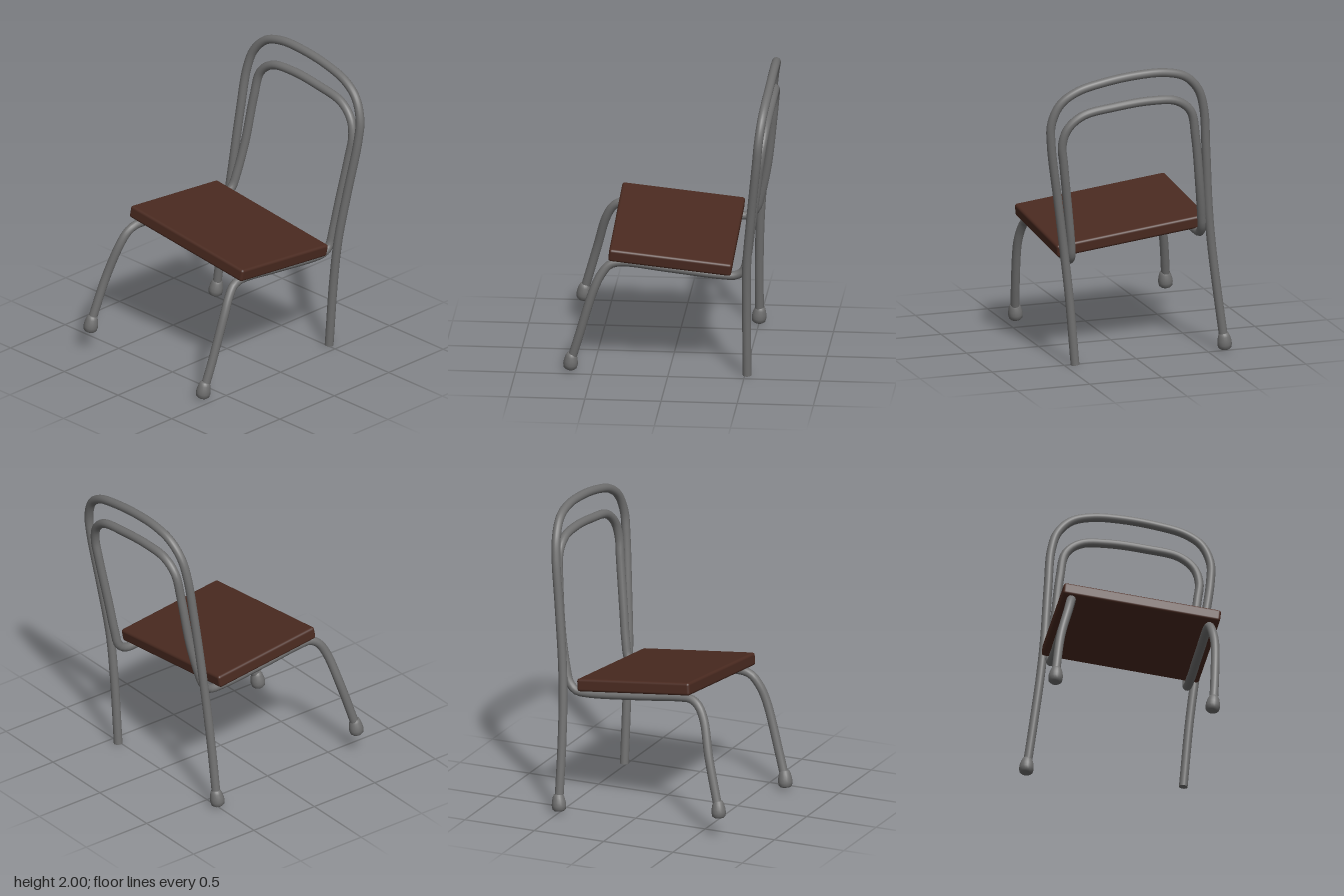
import * as THREE from 'three';
import { RoundedBoxGeometry } from 'three/addons/geometries/RoundedBoxGeometry.js';

const TUBE = 0.029;

export function createModel() {
  const chair = new THREE.Group();
  chair.name = 'chair';
  const steel = new THREE.MeshStandardMaterial({ color: 0x707070 });
  steel.name = 'grey steel';
  const brown = new THREE.MeshStandardMaterial({ color: 0x4a2a20 });
  brown.name = 'dark brown';

  const add = (name, geometry, material) => {
    const mesh = new THREE.Mesh(geometry, material);
    mesh.name = name;
    chair.add(mesh);
    return mesh;
  };
  const bentTube = (name, points) => {
    const curve = new THREE.CatmullRomCurve3(points.map(p => new THREE.Vector3(...p)), false, 'centripetal');
    add(name, new THREE.TubeGeometry(curve, 200, TUBE, 16), steel);
    return curve;
  };

  // The whole chair leans, so the seat and feet share these axes
  const along = new THREE.Vector3(1, -0.107, -0.015).normalize();
  const up = new THREE.Vector3(0.109, 1, 0.115).normalize();
  const across = new THREE.Vector3().crossVectors(along, up).normalize();
  up.crossVectors(across, along);
  const lean = new THREE.Quaternion().setFromRotationMatrix(new THREE.Matrix4().makeBasis(along, up, across));

  // Seat pad
  const seat = add('seat', new RoundedBoxGeometry(0.81, 0.085, 1.05, 3, 0.018), brown);
  seat.quaternion.copy(lean);
  seat.position.set(0.015, 0.858, 0.003);

  // Outer tube: both back legs and the tall back hoop
  const outer = bentTube('backLegsAndHoop', [
    [0.515, 0.01, 0.43], [0.515, 0.49, 0.472], [0.52, 0.8, 0.51], [0.55, 1.13, 0.56],
    [0.592, 1.53, 0.622], [0.606, 1.68, 0.625], [0.622, 1.81, 0.57], [0.636, 1.89, 0.46],
    [0.647, 1.94, 0.28], [0.652, 1.971, 0.05], [0.652, 1.971, -0.15], [0.644, 1.93, -0.29],
    [0.626, 1.83, -0.385], [0.608, 1.69, -0.43], [0.575, 1.4, -0.457], [0.535, 1.0, -0.488],
    [0.518, 0.75, -0.515], [0.508, 0.45, -0.555], [0.505, 0.08, -0.607],
  ]);

  // Flat end of the leg without a foot
  const cap = add('legEnd', new THREE.CircleGeometry(TUBE, 16), steel);
  cap.position.copy(outer.getPoint(0));
  cap.quaternion.setFromUnitVectors(new THREE.Vector3(0, 0, 1), outer.getTangent(0).negate());

  // Inner tube: front legs, seat rails and the lower back hoop
  bentTube('frontLegsRailsAndHoop', [
    [-0.64, 0.08, 0.437], [-0.595, 0.23, 0.452], [-0.49, 0.58, 0.473], [-0.44, 0.69, 0.465],
    [-0.385, 0.755, 0.456], [-0.31, 0.774, 0.453], [0.0, 0.742, 0.45], [0.35, 0.703, 0.447],
    [0.44, 0.703, 0.446], [0.495, 0.74, 0.45], [0.52, 0.85, 0.462], [0.547, 1.05, 0.488],
    [0.595, 1.4, 0.537], [0.61, 1.53, 0.552], [0.625, 1.64, 0.52], [0.638, 1.725, 0.42],
    [0.645, 1.767, 0.2], [0.648, 1.788, -0.05], [0.643, 1.77, -0.23], [0.633, 1.69, -0.33],
    [0.613, 1.5, -0.372], [0.575, 1.18, -0.412], [0.527, 0.95, -0.443], [0.5, 0.865, -0.455],
    [0.45, 0.815, -0.46], [0.37, 0.807, -0.459], [0.0, 0.842, -0.458], [-0.3, 0.878, -0.456],
    [-0.38, 0.879, -0.46], [-0.44, 0.845, -0.475], [-0.49, 0.76, -0.498], [-0.555, 0.53, -0.56],
    [-0.645, 0.21, -0.61],
  ]);

  // Bulb-shaped feet
  const profile = [[0, -0.055], [0.032, -0.054], [0.044, -0.043], [0.048, -0.02], [0.046, 0.005],
    [0.039, 0.035], [0.031, 0.055], [0.02, 0.06], [0, 0.061]].map(p => new THREE.Vector2(...p));
  const footGeometry = new THREE.LatheGeometry(profile, 20);
  const feet = {
    frontLeftFoot: [-0.642, 0.075, 0.435],
    frontRightFoot: [-0.647, 0.2, -0.608],
    backRightFoot: [0.504, 0.075, -0.61],
  };
  for (const [name, position] of Object.entries(feet)) {
    const foot = add(name, footGeometry, steel);
    foot.position.set(...position);
    foot.quaternion.copy(lean);
  }
  return chair;
}
